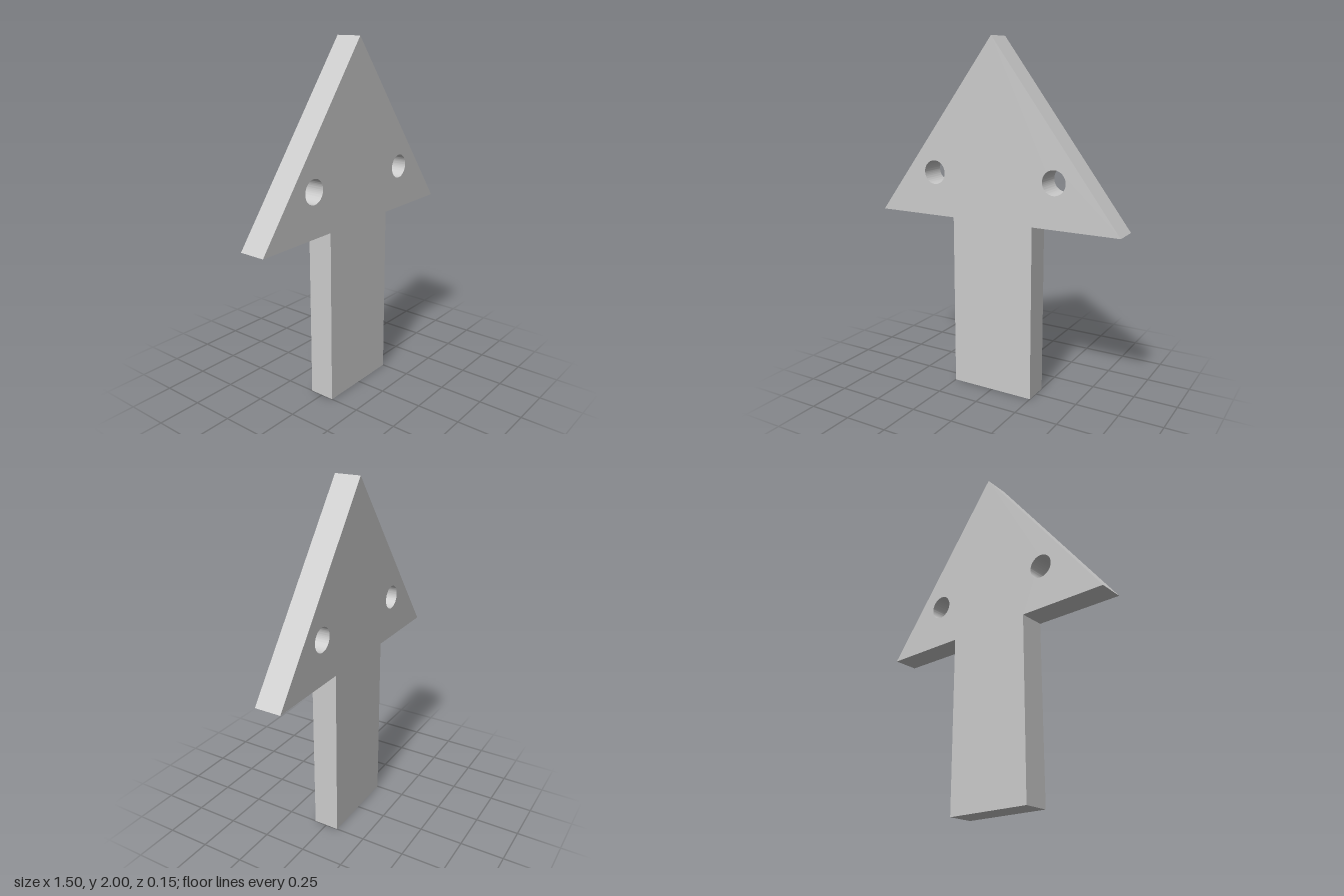
import * as THREE from 'three';
import { toCreasedNormals } from 'three/addons/utils/BufferGeometryUtils.js';

const THICKNESS = 0.15;
const HOLE_RADIUS = 0.068;

export function createModel() {
  const model = new THREE.Group();
  model.name = 'arrowSign';

  // Arrow outline: shaft below, triangular head above
  const outline = new THREE.Shape([
    [-0.25, 0], [0.25, 0], [0.25, 1], [0.75, 1],
    [0, 2], [-0.75, 1], [-0.25, 1],
  ].map(([x, y]) => new THREE.Vector2(x, y)));

  // Round through-hole on each side of the head
  for (const side of [-1, 1]) {
    const hole = new THREE.Path();
    hole.absarc(side * 0.375, 1.25, HOLE_RADIUS, 0, Math.PI * 2, true);
    outline.holes.push(hole);
  }

  // Flat plate with sharp edges and smooth hole walls
  const plate = new THREE.ExtrudeGeometry(outline, {
    depth: THICKNESS, bevelEnabled: false, curveSegments: 48,
  });
  plate.translate(0, 0, -THICKNESS / 2);

  const arrow = new THREE.Mesh(
    toCreasedNormals(plate, Math.PI / 6),
    new THREE.MeshStandardMaterial({ color: 0xcccccc }),
  );
  arrow.name = 'arrowPlate';
  model.add(arrow);
  return model;
}
